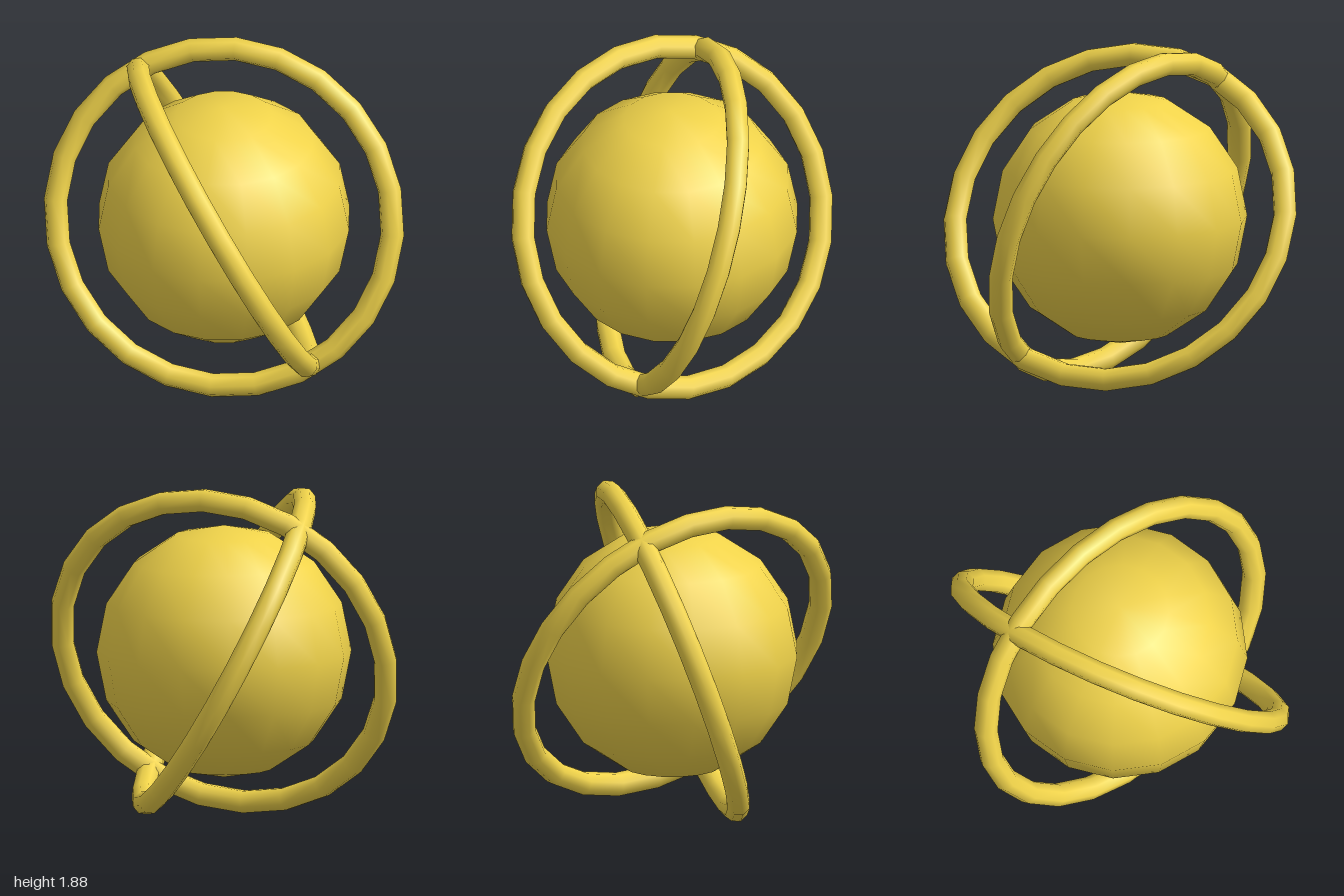
import * as THREE from 'three';

const CENTRE_Y = 0.94;
const deg = THREE.MathUtils.degToRad;

export function createModel() {
  const group = new THREE.Group();
  const gold = new THREE.MeshStandardMaterial({ color: 0xf0d34a });

  const add = (name, geometry) => {
    const mesh = new THREE.Mesh(geometry, gold);
    mesh.name = name;
    mesh.position.y = CENTRE_Y;
    group.add(mesh);
  };

  // Low-poly ring lying flat, tilted about x and then about z
  const ring = (tiltX, tiltZ) =>
    new THREE.TorusGeometry(0.935, 0.065, 8, 24)
      .rotateX(-Math.PI / 2)
      .rotateX(deg(tiltX))
      .rotateZ(deg(tiltZ));

  // Central ball
  add('core', new THREE.SphereGeometry(0.695, 16, 8));

  // Two crossing orbit rings
  add('uprightRing', ring(70, 0));
  add('slantedRing', ring(-20, -60));

  return group;
}
